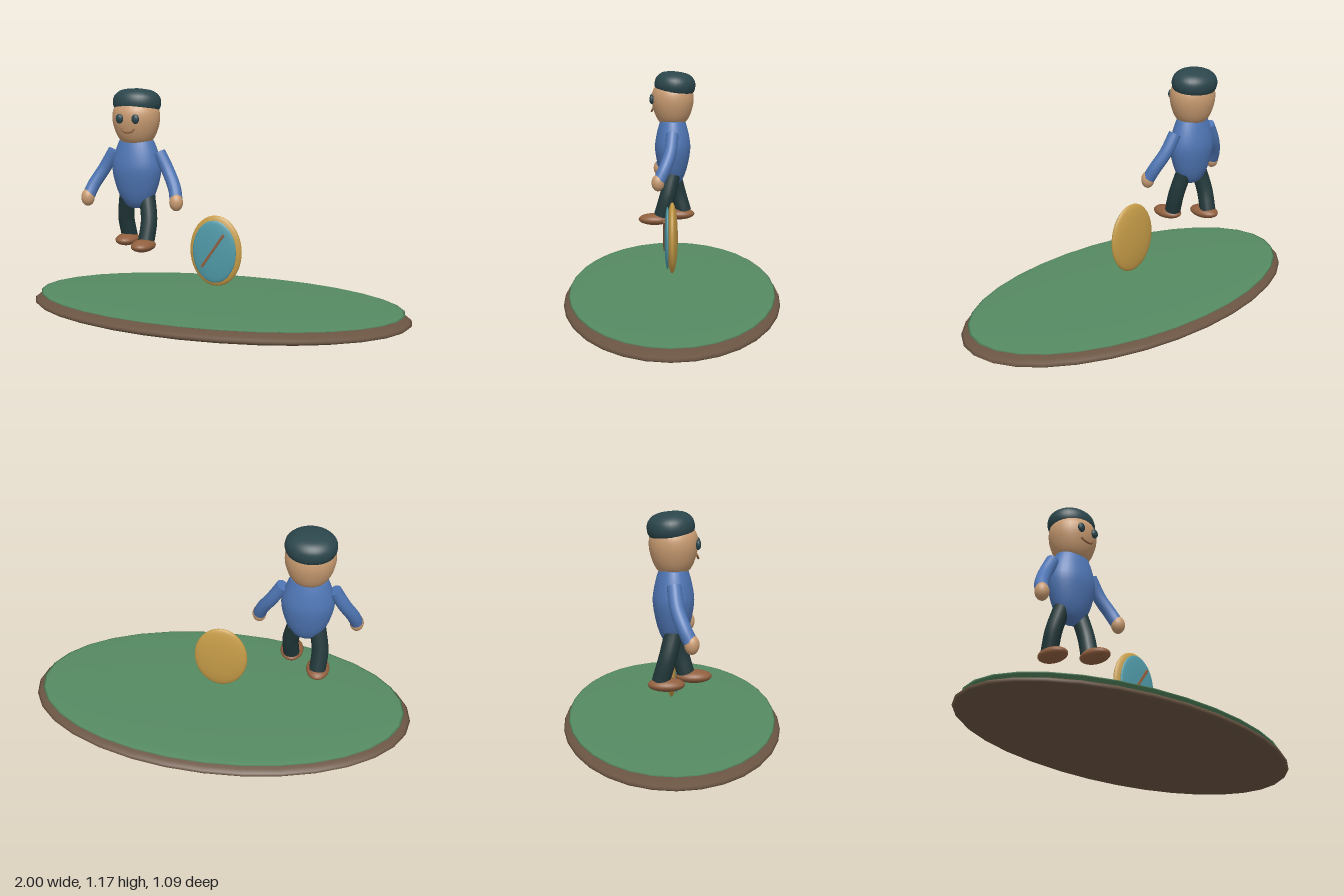
import * as THREE from 'three';

const mat = (name, color) => {
  const m = new THREE.MeshStandardMaterial({ color });
  m.name = name;
  return m;
};

export function createModel() {
  const earth = mat('earth brown', 0x6b5543);
  const grass = mat('grass green', 0x558a62);
  const skin = mat('skin', 0xc99c72);
  const shirt = mat('shirt blue', 0x4f76b5);
  const hatDark = mat('hat dark teal', 0x2b464c);
  const trousers = mat('trousers dark green', 0x22383a);
  const leather = mat('leather brown', 0x91603f);
  const gold = mat('gold', 0xc69c48);
  const glass = mat('glass teal', 0x4f9aa8);

  const model = new THREE.Group();

  const add = (parent, name, geometry, material, x = 0, y = 0, z = 0) => {
    const mesh = new THREE.Mesh(geometry, material);
    mesh.name = name;
    mesh.position.set(x, y, z);
    parent.add(mesh);
    return mesh;
  };
  const ellipsoid = (rx, ry, rz, w = 32, h = 20) =>
    new THREE.SphereGeometry(1, w, h).scale(rx, ry, rz);
  // Smooth turned shape, flattened front to back; points run bottom to top
  const turned = (points, depth) => {
    const curve = new THREE.SplineCurve(points.map(p => new THREE.Vector2(...p)));
    const profile = curve.getPoints(24).map(p => new THREE.Vector2(Math.max(p.x, 0), p.y));
    return new THREE.LatheGeometry(profile, 32).scale(1, 1, depth);
  };
  const path = points => new THREE.CatmullRomCurve3(points.map(p => new THREE.Vector3(...p)));
  // Limb tube with flat end caps
  const limb = (parent, name, points, radius, material) => {
    const curve = path(points);
    const group = new THREE.Group();
    group.name = name;
    parent.add(group);
    add(group, name + 'Tube', new THREE.TubeGeometry(curve, 20, radius, 16), material);
    for (const t of [0, 1]) {
      const p = curve.getPoint(t);
      const dir = curve.getTangent(t).multiplyScalar(t ? 1 : -1);
      const cap = add(group, name + 'Cap', new THREE.CircleGeometry(radius, 16), material, p.x, p.y, p.z);
      cap.quaternion.setFromUnitVectors(new THREE.Vector3(0, 0, 1), dir);
    }
  };

  // Ground island
  add(model, 'groundBase', ellipsoid(1, 0.06, 0.545, 32, 20), earth, 0, 0.06, 0);
  add(model, 'grassTop', ellipsoid(0.965, 0.017, 0.52, 32, 20), grass, 0, 0.104, 0);

  // Standing round mirror with a slanted needle
  const disc = new THREE.Group();
  disc.name = 'disc';
  disc.position.y = 0.358;
  model.add(disc);
  add(disc, 'discBody', ellipsoid(0.138, 0.182, 0.029), gold);
  add(disc, 'discFace', ellipsoid(0.115, 0.16, 0.015), glass, 0, 0, 0.024);
  const needle = add(disc, 'needle', new THREE.BoxGeometry(0.012, 0.208, 0.01), leather, -0.004, 0.007, 0.041);
  needle.rotation.z = -0.6;

  // Walking figure
  const figure = new THREE.Group();
  figure.name = 'figure';
  figure.position.x = -0.43;
  model.add(figure);

  add(figure, 'torso', turned([
    [0, 0.553], [0.055, 0.568], [0.1, 0.635], [0.13, 0.745],
    [0.122, 0.82], [0.096, 0.895], [0.08, 0.907], [0, 0.907],
  ], 0.73), shirt);

  add(figure, 'head', turned([
    [0, 0.885], [0.065, 0.893], [0.096, 0.925], [0.117, 0.98],
    [0.123, 1.03], [0.112, 1.075], [0.07, 1.12], [0, 1.135],
  ], 0.915), skin);

  const hat = add(figure, 'hat', turned([
    [0, -0.05], [0.1, -0.046], [0.119, -0.036], [0.125, -0.005],
    [0.114, 0.028], [0.075, 0.054], [0, 0.063],
  ], 0.875), hatDark, 0, 1.107, -0.013);
  hat.rotation.x = -0.1;

  add(figure, 'mouth', new THREE.TubeGeometry(path([
    [-0.036, 0.974, 0.105], [-0.016, 0.958, 0.112], [0.016, 0.958, 0.112], [0.036, 0.974, 0.105],
  ]), 16, 0.005, 8), leather);

  for (const s of [1, -1]) {
    const side = s > 0 ? 'left' : 'right';
    add(figure, side + 'Eye', ellipsoid(0.02, 0.024, 0.013, 16, 12), hatDark, s * 0.043, 1.024, 0.111);

    // Arms hang outward and slightly forward
    limb(figure, side + 'Arm', [
      [s * 0.125, 0.848, 0], [s * 0.178, 0.755, 0.012], [s * 0.225, 0.672, 0.044], [s * 0.243, 0.618, 0.07],
    ], 0.033, shirt);
    add(figure, side + 'Hand', ellipsoid(0.035, 0.045, 0.034, 20, 14), skin, s * 0.245, 0.609, 0.075);

    // Left leg steps forward, right leg trails
    limb(figure, side + 'Leg', [
      [s * 0.055, 0.62, 0], [s * 0.077, 0.5, s * 0.03], [s * 0.073, 0.395, s * 0.06],
    ], 0.042, trousers);
    add(figure, side + 'Shoe', ellipsoid(0.059, 0.031, 0.086, 24, 14), leather,
      s * 0.073, 0.38, s > 0 ? 0.098 : -0.034);
  }
  return model;
}
